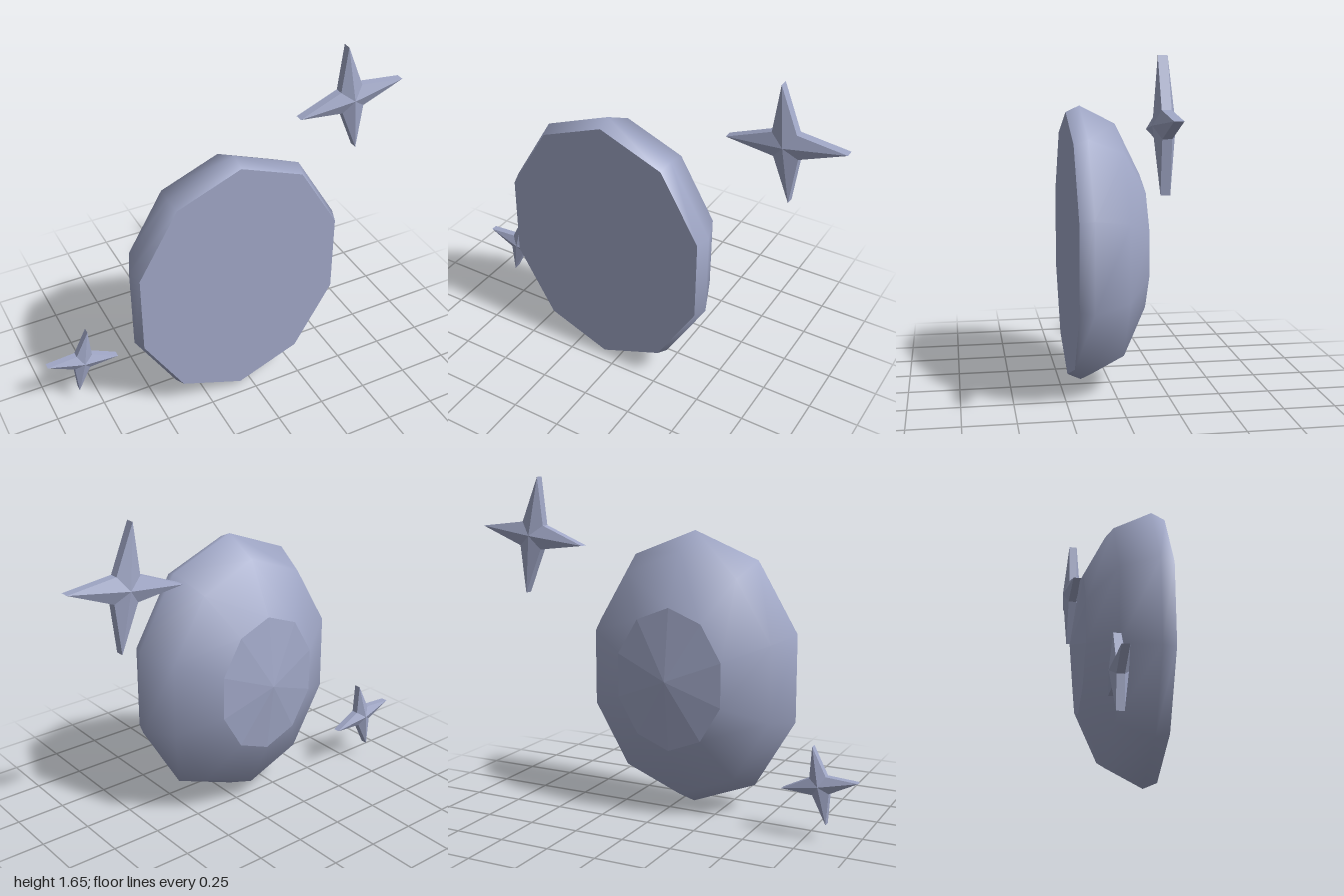
import * as THREE from 'three';

const SIDES = 10;

// Four-pointed star: a low pyramid on each face, joined by a thin rim
function starGeometry(outer, inner, rimHalf, midHalf) {
  const pos = [];
  const corner = (i, z) => {
    const a = (i * Math.PI) / 4;
    const r = i % 2 ? inner : outer;
    return [r * Math.cos(a), r * Math.sin(a), z];
  };
  for (let i = 0; i < 8; i++) {
    const f0 = corner(i, rimHalf), f1 = corner(i + 1, rimHalf);
    const b0 = corner(i, -rimHalf), b1 = corner(i + 1, -rimHalf);
    pos.push([0, 0, midHalf], f0, f1); // front facet
    pos.push([0, 0, -midHalf], b1, b0); // back facet
    pos.push(f0, b0, b1, f0, b1, f1); // rim
  }
  const geo = new THREE.BufferGeometry();
  geo.setAttribute('position', new THREE.Float32BufferAttribute(pos.flat(), 3));
  geo.computeVertexNormals();
  return geo;
}

// Ten-sided oval shell from a [radius, z] profile, back to front
function ovalShell(profile) {
  const geo = new THREE.LatheGeometry(profile.map(([r, z]) => new THREE.Vector2(r, z)), SIDES);
  geo.rotateX(Math.PI / 2);
  geo.scale(0.568, 0.695, 1);
  return geo;
}

export function createModel() {
  const model = new THREE.Group();
  const gemBlue = new THREE.MeshStandardMaterial({ color: 0xa0a7c6 });
  gemBlue.name = 'gemBlue';

  const add = (parent, name, geo) => {
    const mesh = new THREE.Mesh(geo, gemBlue);
    mesh.name = name;
    parent.add(mesh);
    return mesh;
  };

  // Domed gem with a flat front
  const gem = new THREE.Group();
  gem.name = 'gem';
  gem.position.set(-0.07, 0.7, 0);
  model.add(gem);

  add(gem, 'gemSide', ovalShell([[0.504, -0.16], [0.87, -0.035], [1, 0.14], [0.956, 0.207]]));

  const back = ovalShell([[0, -0.205], [0.504, -0.16]]).toNonIndexed();
  back.computeVertexNormals();
  add(gem, 'gemBack', back);

  const front = new THREE.CircleGeometry(0.956, SIDES, Math.PI / 2);
  front.scale(0.568, 0.695, 1);
  front.translate(0, 0, 0.207);
  add(gem, 'gemFront', front);

  // Sparkles beside the gem
  const large = add(model, 'largeSparkle', starGeometry(0.293, 0.085, 0.021, 0.05));
  large.position.set(0.702, 1.36, -0.12);
  large.rotation.z = 0.138;

  const small = add(model, 'smallSparkle', starGeometry(0.187, 0.057, 0.017, 0.041));
  small.position.set(-0.814, 0.265, -0.083);
  small.rotation.z = -0.2;

  return model;
}
